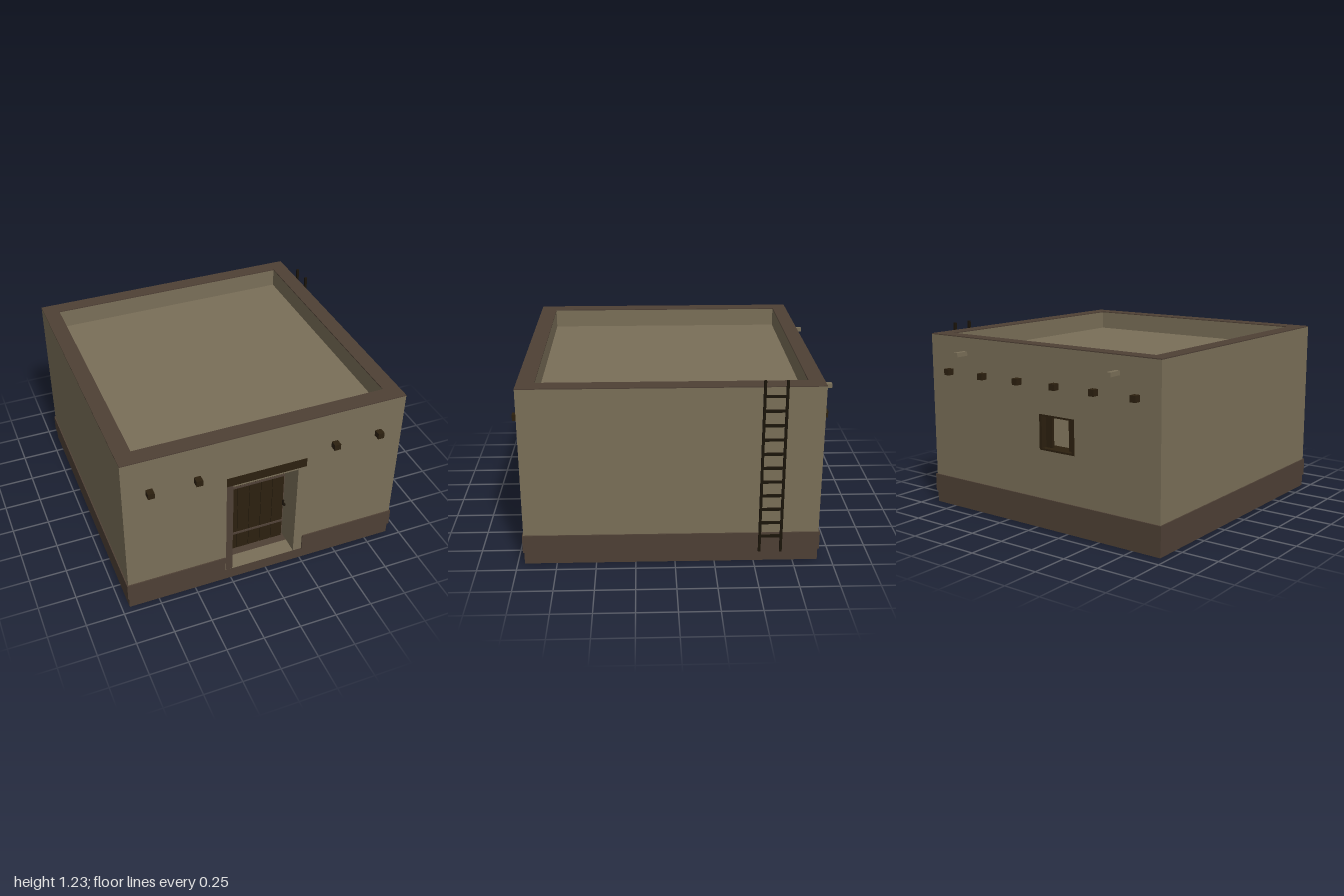
import * as THREE from 'three';

const mat = (name, color) => Object.assign(new THREE.MeshStandardMaterial({ color }), { name });

export function createModel() {
  const adobe = mat('adobe', 0x7a6f58);
  const brown = mat('brown plaster', 0x4e4035);
  const wood = mat('dark wood', 0x2c200f);
  const pole = mat('ladder wood', 0x1b140a);
  const model = new THREE.Group();
  model.name = 'adobeHouse';

  // Box given by its min and max along each axis
  const box = (name, m, [x0, x1], [y0, y1], [z0, z1], parent = model) => {
    const mesh = new THREE.Mesh(new THREE.BoxGeometry(x1 - x0, y1 - y0, z1 - z0), m);
    mesh.position.set((x0 + x1) / 2, (y0 + y1) / 2, (z0 + z1) / 2);
    mesh.name = name;
    parent.add(mesh);
    return mesh;
  };
  const group = (name) => {
    const g = new THREE.Group();
    g.name = name;
    model.add(g);
    return g;
  };
  const rect = (Type, x0, x1, y0, y1) => new Type([
    new THREE.Vector2(x0, y0), new THREE.Vector2(x1, y0),
    new THREE.Vector2(x1, y1), new THREE.Vector2(x0, y1),
  ]);

  // Outer faces, inner faces and main heights
  const X0 = -0.95, X1 = 0.92, Z0 = -0.91, Z1 = 0.955;
  const IX0 = -0.845, IX1 = 0.815, IZ0 = -0.81, IZ1 = 0.845;
  const FLOOR = 0.08, TOP = 1.175, SKIRT = 0.2;

  box('foundation', brown, [X0, X1], [0, FLOOR], [Z0, Z1]);

  // Front and back walls with openings, plain side walls
  const wall = (name, z0, z1, opening) => {
    const shape = rect(THREE.Shape, X0, X1, FLOOR, TOP);
    shape.holes.push(rect(THREE.Path, ...opening));
    const mesh = new THREE.Mesh(
      new THREE.ExtrudeGeometry(shape, { depth: z1 - z0, bevelEnabled: false }), adobe);
    mesh.position.z = z0;
    mesh.name = name;
    model.add(mesh);
  };
  wall('frontWall', IZ1, Z1, [-0.285, 0.255, FLOOR + 0.001, 0.875]);
  wall('backWall', Z0, IZ0, [-0.31, -0.03, 0.517, 0.747]);
  box('rightWall', adobe, [X0, IX0], [FLOOR, TOP], [IZ0, IZ1]);
  box('leftWall', adobe, [IX1, X1], [FLOOR, TOP], [IZ0, IZ1]);
  box('roof', adobe, [IX0, IX1], [1.0, 1.05], [IZ0, IZ1]);

  // Parapet coping
  const cap = rect(THREE.Shape, X0, X1, -Z1, -Z0);
  cap.holes.push(rect(THREE.Path, IX0, IX1, -IZ1, -IZ0));
  const coping = new THREE.Mesh(
    new THREE.ExtrudeGeometry(cap, { depth: 0.006, bevelEnabled: false }), brown);
  coping.rotation.x = -Math.PI / 2;
  coping.position.y = TOP;
  coping.name = 'parapetCoping';
  model.add(coping);

  // Skirting band, broken at the doorway
  const skirt = group('skirting');
  const P = 0.008, sy = [FLOOR, SKIRT];
  box('skirtFrontRight', brown, [X0 - P, -0.29], sy, [Z1, Z1 + P], skirt);
  box('skirtFrontLeft', brown, [0.26, X1 + P], sy, [Z1, Z1 + P], skirt);
  box('skirtBack', brown, [X0 - P, X1 + P], sy, [Z0 - P, Z0], skirt);
  box('skirtRight', brown, [X0 - P, X0], sy, [Z0, Z1], skirt);
  box('skirtLeft', brown, [X1, X1 + P], sy, [Z0, Z1], skirt);

  // Doorway: jambs, head and lintel
  const doorway = group('doorway');
  box('rightJamb', brown, [-0.285, -0.24], [FLOOR, 0.81], [0.775, Z1], doorway);
  box('leftJamb', adobe, [0.2, 0.255], [FLOOR, 0.81], [0.775, Z1], doorway);
  box('doorHead', adobe, [-0.24, 0.2], [0.797, 0.81], [0.775, Z1], doorway);
  box('lintel', wood, [-0.285, 0.255], [0.81, 0.875], [0.775, Z1 + 0.002], doorway);

  // Plank door with two bands and a handle
  const door = group('door');
  for (let i = 0; i < 5; i++) {
    const x = -0.22 + i * 0.082;
    box('doorPlank', wood, [x, x + 0.079], [FLOOR, 0.79], [0.765, 0.79], door);
  }
  for (const y of [0.215, 0.62]) box('doorBand', brown, [-0.22, 0.187], [y, y + 0.014], [0.79, 0.797], door);
  box('handlePlate', pole, [0.183, 0.195], [0.36, 0.405], [0.79, 0.796], door);
  box('handleGrip', pole, [0.187, 0.204], [0.362, 0.377], [0.79, 0.808], door);

  // Back window: wide wooden sides, thin sill and head
  const frame = group('windowFrame');
  const wz = [Z0 + 0.015, IZ0];
  box('windowHead', wood, [-0.31, -0.03], [0.735, 0.747], [Z0 - 0.002, IZ0], frame);
  box('windowSill', wood, [-0.31, -0.03], [0.517, 0.529], [Z0 - 0.002, IZ0], frame);
  for (const s of [-1, 1]) {
    const side = (name, a, b, z) => {
      const xs = [-0.17 + s * a, -0.17 + s * b].sort((p, q) => p - q);
      box(name, wood, xs, [0.529, 0.735], z, frame);
    };
    side('windowPost', 0.12, 0.14, [Z0 - 0.002, IZ0]);
    side('shutterBoard', 0.068, 0.117, [wz[0] + 0.02, wz[0] + 0.04]);
  }

  // Roof beam ends
  const beams = group('beamEnds');
  const beam = (x, z0, z1) => box('beamEnd', wood, [x - 0.021, x + 0.021], [0.917, 0.958], [z0, z1], beams);
  for (const x of [-0.78, -0.477, 0.44, 0.747]) beam(x, Z1, 1.0);
  for (let i = 0; i < 6; i++) beam(-0.78 + i * 0.305, -0.955, Z0);

  // Rain spouts through the back parapet
  for (const x of [-0.64, 0.605]) box('rainSpout', adobe, [x - 0.016, x + 0.016], [1.057, 1.085], [-1.0, Z0]);

  // Ladder against the left wall
  const ladder = group('ladder');
  for (const z of [-0.533, -0.668]) {
    box('ladderRail', pole, [0.939, 0.955], [FLOOR, 1.227], [z - 0.008, z + 0.008], ladder);
  }
  for (let i = 0; i < 11; i++) {
    const y = 0.188 + i * 0.0938;
    box('ladderRung', pole, [0.941, 0.953], [y - 0.008, y + 0.008], [-0.668, -0.533], ladder);
  }

  return model;
}
